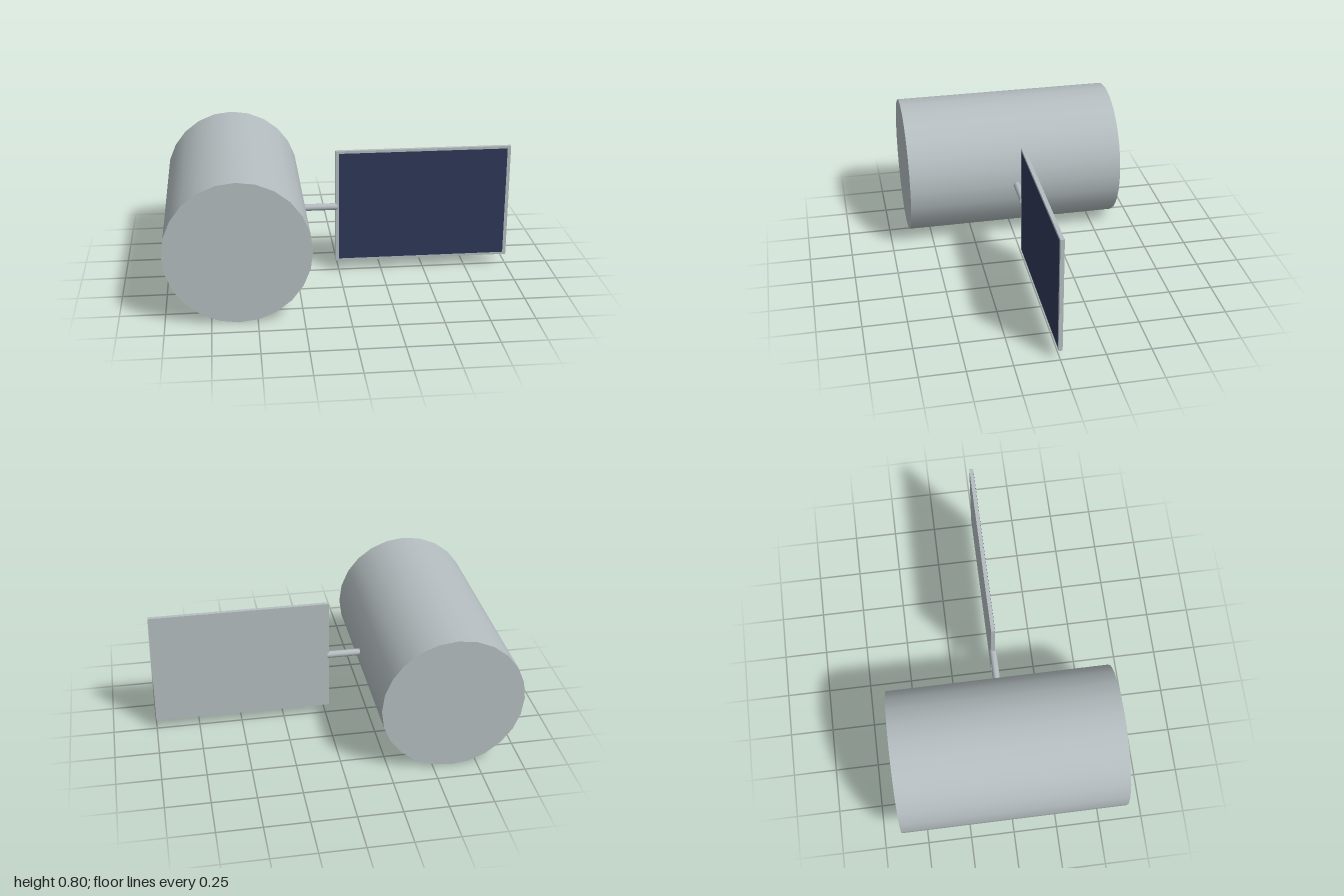
import * as THREE from 'three';

export function createModel() {
  const model = new THREE.Group();
  const metal = new THREE.MeshStandardMaterial({ color: 0xb4bdc0 });
  metal.name = 'pale grey metal';
  const navy = new THREE.MeshStandardMaterial({ color: 0x2f3858 });
  navy.name = 'navy solar cells';

  const add = (name, geometry, material, x, y, z) => {
    const mesh = new THREE.Mesh(geometry, material);
    mesh.name = name;
    mesh.position.set(x, y, z);
    model.add(mesh);
  };

  // Main drum, lying along z
  add('body', new THREE.CylinderGeometry(0.4, 0.4, 1.27, 24).rotateX(Math.PI / 2), metal, -0.6, 0.4, 0);

  // Short rod joining drum and panel
  add('panelArm', new THREE.CylinderGeometry(0.02, 0.02, 0.22, 12).rotateZ(Math.PI / 2), metal, -0.12, 0.4, 0);

  // Panel backing with a dark face on the front only
  add('panelFrame', new THREE.BoxGeometry(1.02, 0.68, 0.022), metal, 0.49, 0.4, 0);
  add('solarCells', new THREE.BoxGeometry(0.98, 0.65, 0.004), navy, 0.49, 0.4, 0.0105);

  return model;
}
